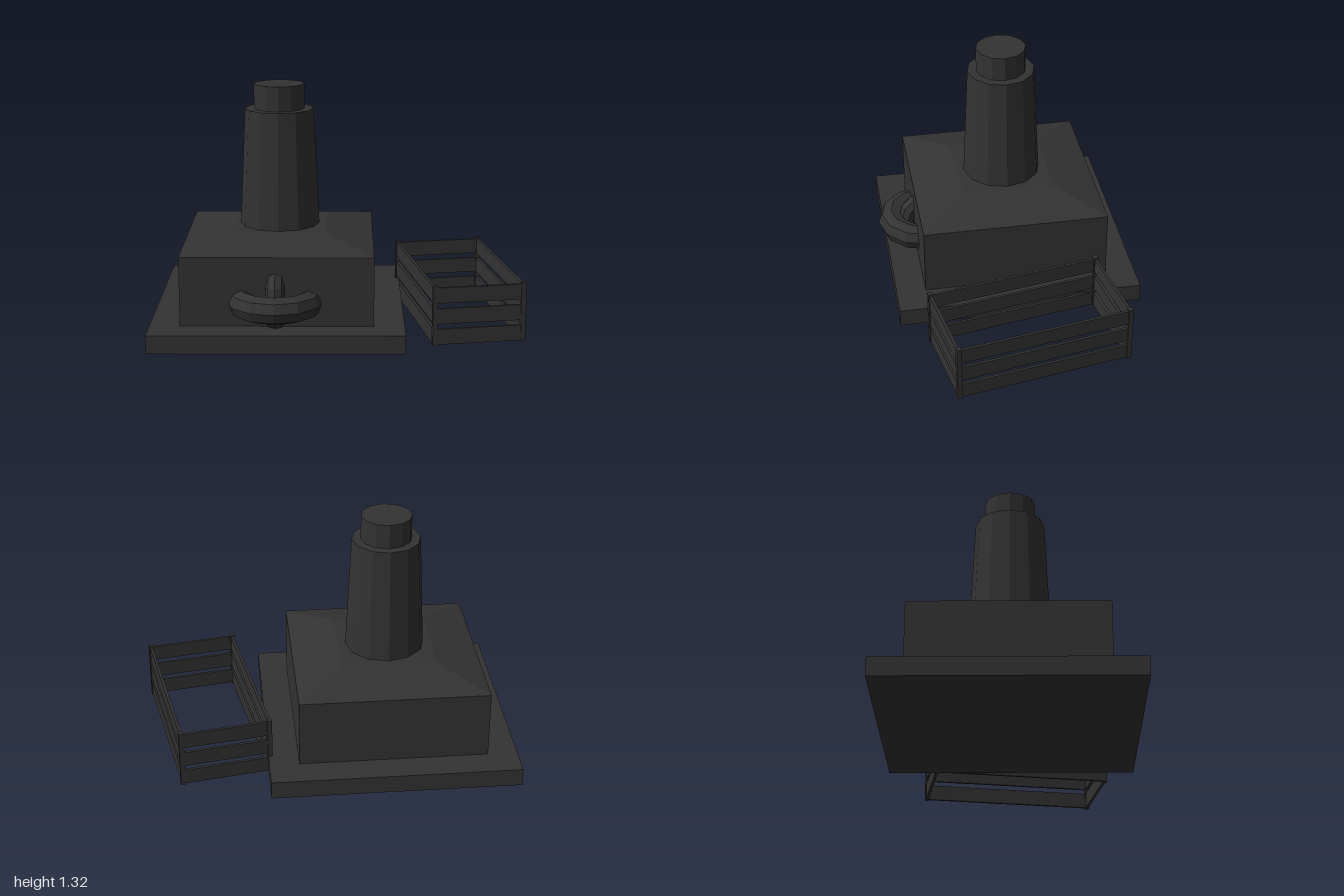
import * as THREE from 'three';

const charcoal = new THREE.MeshStandardMaterial({ color: 0x333333, flatShading: true });
charcoal.name = 'charcoal';

const CX = -0.325, CZ = -0.02; // centre of the building

function add(parent, name, geometry, x = 0, y = 0, z = 0) {
  const mesh = new THREE.Mesh(geometry, charcoal);
  mesh.name = name;
  mesh.position.set(x, y, z);
  parent.add(mesh);
  return mesh;
}

// Square frustum with flat sides aligned to the axes
function squareFrustum(topWidth, bottomWidth, height) {
  const g = new THREE.CylinderGeometry(topWidth / Math.SQRT2, bottomWidth / Math.SQRT2, height, 4);
  return g.rotateY(Math.PI / 4);
}

// Rectangular pen of corner posts and three rails per side
function createFence(width, length) {
  const fence = new THREE.Group();
  fence.name = 'fence';
  const post = new THREE.BoxGeometry(0.026, 0.325, 0.026);
  const shortRail = new THREE.BoxGeometry(width, 0.085, 0.015);
  const longRail = new THREE.BoxGeometry(0.015, 0.085, length);
  for (const s of [-1, 1]) {
    for (const t of [-1, 1]) add(fence, 'fencePost', post, s * width / 2, 0.1625, t * length / 2);
    for (const y of [0.046, 0.159, 0.273]) {
      add(fence, 'shortRail', shortRail, 0, y, s * length / 2);
      add(fence, 'longRail', longRail, s * width / 2, y, 0);
    }
  }
  return fence;
}

export function createModel() {
  const model = new THREE.Group();
  model.name = 'furnaceWithPen';

  // Building
  add(model, 'baseSlab', new THREE.BoxGeometry(1.35, 0.1, 1.35), CX, 0.05, CZ);
  add(model, 'body', new THREE.BoxGeometry(1.026, 0.375, 1.026), CX, 0.2875, CZ);
  add(model, 'slopedRoof', squareFrustum(0.515, 1.026, 0.065), CX, 0.5075, CZ);

  // Chimney
  add(model, 'chimney', new THREE.CylinderGeometry(0.187, 0.217, 0.64, 12), CX, 0.86, CZ);
  add(model, 'chimneyCap', new THREE.CylinderGeometry(0.138, 0.138, 0.135, 12), CX, 1.2475, CZ);

  // Interlocking rings half sunk into the front wall
  const bigRing = new THREE.TorusGeometry(0.187, 0.073, 8, 12).rotateX(Math.PI / 2);
  add(model, 'horizontalRing', bigRing, -0.333, 0.223, 0.437);
  const smallRing = new THREE.TorusGeometry(0.15, 0.05, 8, 12).rotateY(Math.PI / 2);
  add(model, 'verticalRing', smallRing, -0.333, 0.225, 0.385);

  // Pen beside the building
  const fence = createFence(0.48, 0.95);
  fence.position.set(0.661, 0, -0.006);
  fence.rotation.y = THREE.MathUtils.degToRad(10);
  model.add(fence);

  return model;
}
